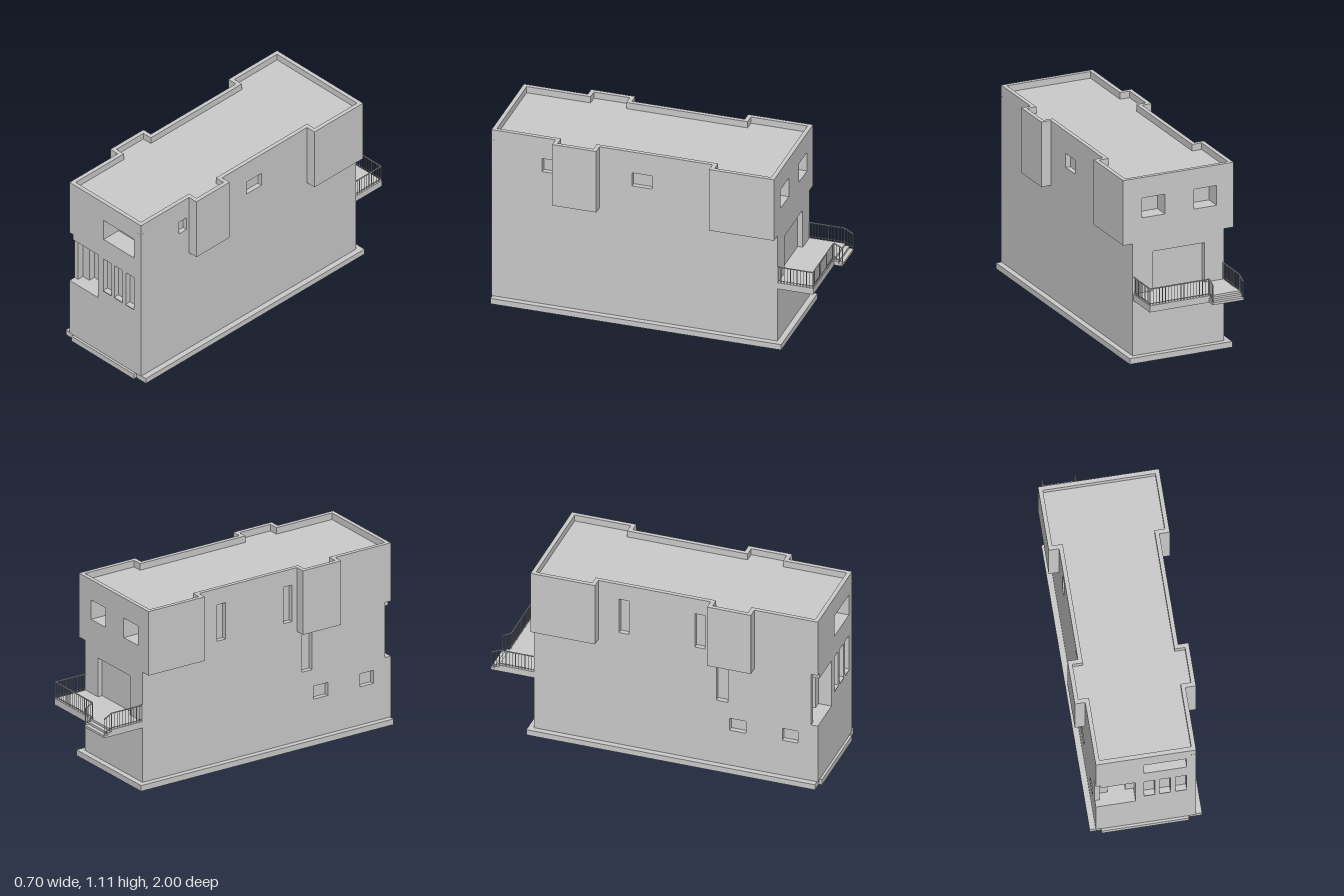
import * as THREE from 'three';

const mat = new THREE.MeshStandardMaterial({ color: 0xcccccc, flatShading: true });

export function createModel() {
  const model = new THREE.Group();

  const add = (name, geo, parent = model) => {
    const m = new THREE.Mesh(geo, mat);
    m.name = name;
    parent.add(m);
    return m;
  };
  // Box given by its minimum and maximum on each axis
  const box = (name, x0, x1, y0, y1, z0, z1, parent) => {
    const m = add(name, new THREE.BoxGeometry(x1 - x0, y1 - y0, z1 - z0), parent);
    m.position.set((x0 + x1) / 2, (y0 + y1) / 2, (z0 + z1) / 2);
    return m;
  };
  const rect = (x0, x1, y0, y1) => [[x0, y0], [x1, y0], [x1, y1], [x0, y1]];
  const toVec = pts => pts.map(p => new THREE.Vector2(p[0], p[1]));
  // Flat panel with openings, extruded along +z
  const panel = (outline, holes, depth) => {
    const shape = new THREE.Shape(toVec(outline));
    holes.forEach(h => shape.holes.push(new THREE.Path(toVec(h))));
    return new THREE.ExtrudeGeometry(shape, { depth, bevelEnabled: false });
  };

  const W = 0.29, FRONT = 0.985, BACK = -0.735, Y0 = 0.035, ROOF = 1.07, TOP = 1.11;
  const coreX = 0.26, coreFront = 0.865, coreBack = -0.635;

  // Base plinth: open ring with a front lip
  const plinth = add('plinth', panel(rect(-0.325, 0.325, -0.98, 0.77),
    [rect(-0.21, 0.21, -0.87, 0.655)], Y0));
  plinth.geometry.rotateX(-Math.PI / 2);
  box('plinthLip', -0.26, 0.247, 0, Y0, 0.98, 1.0);

  // Solid core behind the walls
  box('core', -coreX, coreX, Y0, ROOF, coreBack, coreFront);

  // Front wall: corner porch cut out, wide upper window and three tall windows
  const wide = rect(-0.013, 0.235, 0.85, 0.985);
  const slots = [-0.013, 0.077, 0.17].map(x => rect(x, x + 0.064, 0.485, 0.71));
  const frontWall = add('frontWall', panel([
    [-W, Y0], [W, Y0], [W, ROOF], [-W, ROOF], [-W, 0.75], [-0.262, 0.75],
    [-0.262, 0.715], [-0.06, 0.715], [-0.06, 0.41], [-W, 0.41],
  ], [wide, ...slots], 0.08));
  frontWall.position.z = 0.905;
  const door = rect(-0.21, -0.108, 0.41, 0.65);
  const innerWall = add('porchWall', panel(rect(-W, W, Y0, ROOF), [wide, door], 0.04));
  innerWall.position.z = coreFront;
  box('porchPier', -W, -0.262, 0.41, 0.75, 0.905, 0.945);
  slots.forEach(s => {
    const [x0, y0] = s[0], [x1, y1] = s[2];
    box('tallWindowPane', x0, x1, y0, y1, 0.9, 0.955);
    box('tallWindowSill', x0, x1, y0 - 0.003, y0 + 0.003, 0.95, 0.99);
  });
  box('cornerSpout', 0.257, W + 0.001, 1.036, 1.044, 0.96, FRONT + 0.001);

  // Back wall: two upper windows and a wide terrace door
  const terrace = [-0.165, 0.16, 0.41, 0.65];
  const backWall = add('backWall', panel(rect(-W, W, Y0, ROOF), [
    rect(0.084, 0.23, 0.865, 0.985), rect(-0.243, -0.1, 0.865, 0.985), rect(...terrace),
  ], coreBack - BACK));
  backWall.position.z = BACK;
  box('terraceDoor', ...terrace, BACK + 0.03, coreBack);

  // Left (+x) side wall, drawn with u = -z
  const leftWall = add('leftWall', panel(rect(-coreFront, -coreBack, Y0, ROOF), [
    rect(-0.68, -0.62, 0.89, 0.975), rect(-0.14, -0.02, 0.89, 0.975),
  ], W - coreX));
  leftWall.rotation.y = Math.PI / 2;
  leftWall.position.x = coreX;

  // Right (-x) side wall, drawn with u = z
  const rightWall = add('rightWall', panel(rect(coreBack, coreFront, Y0, ROOF), [
    rect(-0.22, -0.16, 0.785, 1.01), rect(0.24, 0.3, 0.785, 1.01),
    rect(0.37, 0.44, 0.455, 0.69),
    rect(0.45, 0.55, 0.27, 0.35), rect(0.77, 0.87 - 0.006, 0.27, 0.35),
  ], W - coreX));
  rightWall.rotation.y = -Math.PI / 2;
  rightWall.position.x = -coreX;

  // Projecting upper bays on both sides
  const bays = [[BACK, -0.345], [0.335, 0.6]];
  for (const [z0, z1] of bays) {
    box('leftBay', W, 0.35, 0.715, ROOF, z0, z1);
    box('rightBay', -0.35, -W, 0.715, ROOF, z0, z1);
  }

  // Parapet following the stepped roof outline, t = inward offset
  const roofOutline = t => {
    const b = 0.35 - t, w = W - t;
    const half = [
      [w, FRONT - t], [w, 0.6 - t], [b, 0.6 - t], [b, 0.335 + t], [w, 0.335 + t],
      [w, -0.345 - t], [b, -0.345 - t], [b, BACK + t],
    ];
    const other = half.map(([x, z]) => [-x, z]).reverse();
    return [...half, ...other].map(([x, z]) => [x, -z]);
  };
  const parapet = add('parapet', panel(roofOutline(0), [roofOutline(0.025)], TOP - ROOF));
  parapet.geometry.rotateX(-Math.PI / 2);
  parapet.position.y = ROOF;

  // Rear balcony with two steps
  const balcony = new THREE.Group();
  balcony.name = 'balcony';
  model.add(balcony);
  const stepX = -0.09, edge = -0.95;
  box('balconyFloor', -0.288, 0.285, 0.37, 0.41, edge, BACK, balcony);
  box('upperStep', -0.288, stepX, 0.37, 0.397, -0.975, edge, balcony);
  box('lowerStep', -0.288, stepX, 0.37, 0.384, -1.0, -0.975, balcony);

  // Straight railing: handrail, bottom rail and balusters between two floor points
  const bar = (name, a, b, r) => {
    const dir = b.clone().sub(a);
    const m = add(name, new THREE.CylinderGeometry(r, r, dir.length(), 6), balcony);
    m.position.copy(a).add(b).multiplyScalar(0.5);
    m.quaternion.setFromUnitVectors(new THREE.Vector3(0, 1, 0), dir.normalize());
  };
  const railing = (a, b, h = 0.1) => {
    const up = y => new THREE.Vector3(0, y, 0);
    bar('handrail', a.clone().add(up(h)), b.clone().add(up(h)), 0.004);
    bar('bottomRail', a.clone().add(up(0.012)), b.clone().add(up(0.012)), 0.002);
    const n = Math.max(2, Math.round(a.distanceTo(b) / 0.02));
    for (let i = 0; i <= n; i++) {
      const p = a.clone().lerp(b, i / n);
      bar('baluster', p, p.clone().add(up(h)), i % n ? 0.002 : 0.003);
    }
  };
  const P = (x, y, z) => new THREE.Vector3(x, y, z);
  const e = edge + 0.004;
  railing(P(0.281, 0.41, BACK), P(0.281, 0.41, e));
  railing(P(0.281, 0.41, e), P(stepX, 0.41, e));
  railing(P(-0.284, 0.41, BACK), P(-0.284, 0.41, e));
  for (const x of [-0.284, stepX - 0.004]) railing(P(x, 0.41, e), P(x, 0.384, -0.997));

  return model;
}
